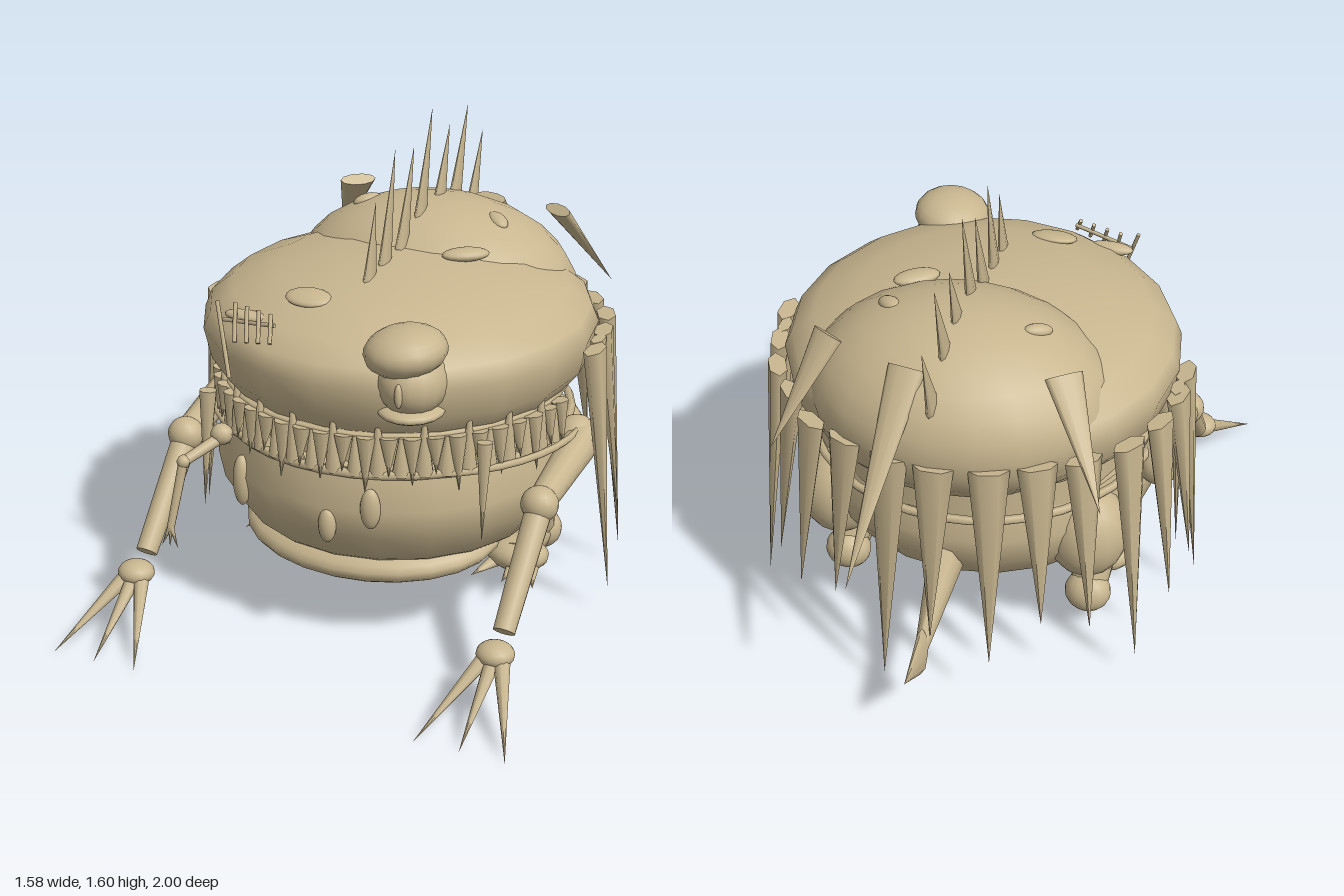
import * as THREE from 'three';

const hide = new THREE.MeshStandardMaterial({ color: 0xc8b68f });
hide.name = 'tan hide';
const V = (p) => new THREE.Vector3(...p);

export function createModel() {
  const model = new THREE.Group();
  model.name = 'spikyToadMonster';

  const add = (name, geometry) => {
    const mesh = new THREE.Mesh(geometry, hide);
    mesh.name = name;
    model.add(mesh);
    return mesh;
  };
  // Tapered rod from a to b; r1 = 0 makes a spike, thinned by squash along the given direction
  const limb = (name, a, b, r0, r1, sides = 10, squash = 1, thin = [1, 0, 0]) => {
    const from = V(a), to = V(b), dir = to.clone().sub(from);
    const mesh = add(name, new THREE.CylinderGeometry(r1, r0, dir.length(), sides));
    dir.normalize();
    const across = new THREE.Vector3().crossVectors(V(thin), dir).normalize();
    const basis = new THREE.Matrix4().makeBasis(dir.clone().cross(across), dir, across);
    mesh.quaternion.setFromRotationMatrix(basis);
    mesh.position.copy(from).add(to).multiplyScalar(0.5);
    mesh.scale.x = squash;
    return mesh;
  };
  const ball = (name, p, r, rot = [0, 0, 0], seg = 16) => {
    const mesh = add(name, new THREE.SphereGeometry(1, seg, Math.ceil(seg * 0.7)));
    mesh.position.set(...p);
    mesh.scale.set(...r);
    mesh.rotation.set(...rot);
    return mesh;
  };
  const turned = (name, points, capY, capR, faceUp) => {
    const mesh = add(name, new THREE.LatheGeometry(points.map((p) => new THREE.Vector2(...p)), 20));
    const cap = new THREE.Mesh(new THREE.CircleGeometry(capR, 20), hide);
    cap.name = name + 'MouthFace';
    cap.rotation.x = faceUp ? -Math.PI / 2 : Math.PI / 2;
    cap.position.y = capY;
    mesh.add(cap);
    return mesh;
  };

  // Flat-bottomed head, bowl-shaped belly and the hump behind
  turned('head', [[0.58, 0.78], [0.635, 0.85], [0.66, 0.96], [0.635, 1.02], [0.56, 1.08],
    [0.41, 1.14], [0.2, 1.18], [0, 1.19]], 0.78, 0.58, false);
  const belly = turned('belly', [[0, 0.15], [0.2, 0.175], [0.38, 0.225], [0.51, 0.32],
    [0.585, 0.43], [0.605, 0.53], [0.575, 0.65]], 0.65, 0.575, true);
  belly.position.z = 0.05;
  belly.scale.z = 0.97;
  ball('bellyPatch', [0, 0.29, 0.22], [0.45, 0.1, 0.335], [0.1, 0, 0], 24);
  ball('hump', [0, 0.97, -0.285], [0.505, 0.312, 0.405], [0, 0, 0], 20);

  // Mouth interior, gums and lower lip
  add('mouthInside', new THREE.CylinderGeometry(0.53, 0.53, 0.16, 24)).position.y = 0.715;
  [['upperGum', 0.57, 0.775, 0.015], ['lowerGum', 0.585, 0.65, 0.015]].forEach(([name, r, y, t]) => {
    const ring = add(name, new THREE.TorusGeometry(r, t, 6, 36));
    ring.rotation.x = Math.PI / 2;
    ring.position.set(0, y, 0.02);
  });
  const lip = add('lowerLip', new THREE.TorusGeometry(0.64, 0.012, 6, 24, Math.PI));
  lip.rotation.x = Math.PI / 2;
  lip.scale.y = 0.92;
  lip.position.y = 0.65;

  // Two rows of teeth around the front
  const upper = 25, lower = 24;
  const around = (angle, r, y) => [Math.sin(angle) * r, y, Math.cos(angle) * r];
  for (let i = 0; i < upper; i++) {
    const a = (i / (upper - 1) - 0.5) * 2.9;
    const drop = [0.16, 0.12, 0.19, 0.13][i % 4];
    limb('upperTooth', around(a, 0.6, 0.78), around(a, 0.62, 0.78 - drop), 0.032, 0, 8);
  }
  for (let i = 0; i < lower; i++) {
    const a = (i / (lower - 1) - 0.5) * 2.8;
    limb('lowerTooth', around(a, 0.59, 0.65), around(a, 0.6, i % 2 ? 0.78 : 0.83), 0.032, 0.007, 8);
  }
  limb('longFang', [-0.49, 0.77, 0.45], [-0.495, 0.37, 0.49], 0.03, 0, 8);
  limb('longFang', [0.49, 0.77, 0.45], [0.5, 0.44, 0.49], 0.027, 0, 8);

  // Fringe of flattened hanging spikes: x, z, tip height
  [[-0.68, 0.01, 0.12], [-0.68, -0.12, 0.3], [-0.65, -0.27, 0.25], [-0.58, -0.41, 0.1],
    [-0.46, -0.52, 0.3], [-0.33, -0.59, 0.35], [-0.19, -0.65, 0.2], [-0.02, -0.68, 0.3],
    [0.13, -0.66, 0.08], [0.29, -0.61, 0.35], [0.42, -0.55, 0.3], [0.53, -0.42, 0.3],
    [0.62, -0.3, 0.07], [0.66, -0.16, 0.26], [0.69, 0.01, 0.1]].forEach(([x, z, tip]) => {
    limb('fringeSpike', [x * 1.11, tip, z * 1.11], [x, 0.95, z], 0, 0.066, 6, 0.5, [x, 0, z]);
  });
  for (const s of [1, -1]) {
    limb('fringeSpike', [s * 0.7, 0.3, -0.09], [s * 0.67, 0.95, -0.08], 0, 0.045, 6, 0.5);
  }

  // Row of thin back spikes: base z, base y, tip z, tip y
  [[0.245, 1.14, 0.19, 1.41], [0.13, 1.15, 0.04, 1.54], [-0.01, 1.18, -0.11, 1.51],
    [-0.155, 1.22, -0.26, 1.6], [-0.32, 1.24, -0.41, 1.5], [-0.46, 1.22, -0.57, 1.53],
    [-0.61, 1.13, -0.71, 1.4]].forEach(([z, y, tz, ty]) => {
    limb('backSpike', [0, y, z], [0, ty, tz], 0.045, 0, 8, 0.36);
  });

  // Flattened swept-back horns on the hump
  const horn = (name, base, tip) => limb(name, base, tip, 0.063, 0, 10, 0.35, [0, 1, 0]);
  horn('middleHorn', [0.1, 1.21, -0.54], [0.17, 0.68, -1]);
  horn('sideHorn', [0.38, 1.23, -0.46], [0.51, 0.92, -0.68]);
  horn('sideHorn', [-0.38, 1.23, -0.48], [-0.56, 0.92, -0.73]);

  // Tail with a flat fin
  limb('tail', [0, 0.43, -0.42], [0, 0.26, -0.8], 0.11, 0.03, 10, 0.6);
  limb('tailFin', [0, 0.255, -0.78], [0, 0.29, -0.97], 0.09, 0, 8, 0.25);

  // Arms and legs
  for (const s of [1, -1]) {
    ball('shoulder', [s * 0.62, 0.6, -0.04], [0.075, 0.08, 0.08]);
    limb('upperArm', [s * 0.645, 0.61, -0.06], [s * 0.64, 0.54, 0.35], 0.065, 0.045, 12);
    ball('elbow', [s * 0.64, 0.54, 0.35], [0.062, 0.06, 0.058]);
    limb('forearm', [s * 0.64, 0.53, 0.35], [s * 0.64, 0.23, 0.64], 0.045, 0.036, 12);
    ball('wrist', [s * 0.64, 0.19, 0.71], [0.062, 0.04, 0.058]);
    for (const dx of [-0.15, 0, 0.15]) {
      limb('finger', [s * 0.64 + dx * 0.17, 0.18, 0.72], [s * 0.64 + dx, 0.003, 1], 0.028, 0, 8);
    }

    ball('hip', [s * 0.43, 0.46, -0.28], [0.14, 0.17, 0.14]);
    limb('thigh', [s * 0.42, 0.38, -0.08], [s * 0.43, 0.17, -0.2], 0.1, 0.065, 12);
    ball('ankle', [s * 0.43, 0.14, -0.23], [0.08, 0.075, 0.07]);
    limb('foot', [s * 0.43, 0.14, -0.22], [s * 0.43, 0.14, 0.02], 0.06, 0.055, 12);
    ball('footPad', [s * 0.43, 0.14, -0.02], [0.11, 0.058, 0.085]);
    for (const dx of [-0.08, 0, 0.08]) {
      limb('toe', [s * 0.43 + dx * 0.8, 0.115, 0.01], [s * 0.43 + dx * 1.4, 0.1, 0.13], 0.026, 0, 8);
    }
  }

  // Bulging eye with heavy lids
  ball('eyeball', [0.28, 0.975, 0.53], [0.112, 0.11, 0.125]);
  ball('upperLid', [0.26, 1.075, 0.54], [0.132, 0.08, 0.138], [0, 0, 0.12]);
  ball('lowerLid', [0.28, 0.885, 0.54], [0.108, 0.03, 0.115]);
  ball('pupil', [0.285, 0.97, 0.65], [0.013, 0.04, 0.015]);

  // Stitched-shut eye
  limb('scar', [-0.41, 1.12, 0.51], [-0.34, 0.89, 0.575], 0.007, 0.007, 6);
  limb('stitchBar', [-0.39, 1.06, 0.51], [-0.18, 1.09, 0.56], 0.007, 0.007, 6, 1, [0, 1, 0]);
  for (let i = 0; i < 4; i++) {
    const x = -0.35 + i * 0.05, z = 0.52 + i * 0.015;
    limb('stitch', [x, 1.12, z - 0.02], [x + 0.025, 1.01 + i * 0.012, z + 0.04], 0.007, 0.007, 6);
  }
  ball('shutEyeRidge', [-0.32, 1.07, 0.48], [0.08, 0.02, 0.03]);

  // Warts on the head and belly
  ball('headWart', [-0.14, 1.135, 0.4], [0.08, 0.018, 0.05], [0.25, 0, 0]);
  ball('headWart', [0.22, 1.19, -0.03], [0.08, 0.022, 0.04], [0, 0.6, 0]);
  ball('headWart', [0.24, 1.235, -0.26], [0.05, 0.022, 0.03], [0, -0.7, -0.2]);
  ball('headWart', [-0.25, 1.235, -0.28], [0.05, 0.022, 0.025], [0, 0.6, 0.2]);
  ball('bellyWart', [-0.33, 0.51, 0.53], [0.032, 0.09, 0.03], [0, -0.55, 0]);
  ball('bellyWart', [0.025, 0.465, 0.625], [0.03, 0.06, 0.025]);
  ball('bellyWart', [0.17, 0.545, 0.61], [0.033, 0.07, 0.025], [0, 0.3, 0]);

  // Tiny arm dangling from the mouth
  ball('tinyShoulder', [-0.36, 0.7, 0.6], [0.038, 0.036, 0.036], [0, 0, 0], 10);
  limb('tinyUpperArm', [-0.36, 0.69, 0.6], [-0.43, 0.645, 0.73], 0.02, 0.017, 8);
  ball('tinyElbow', [-0.43, 0.645, 0.73], [0.022, 0.022, 0.022], [0, 0, 0], 10);
  limb('tinyForearm', [-0.43, 0.645, 0.73], [-0.455, 0.43, 0.785], 0.017, 0.013, 8);
  for (const dx of [-0.03, 0, 0.03]) {
    limb('tinyFinger', [-0.455, 0.435, 0.785], [-0.455 + dx, 0.365, 0.795], 0.01, 0, 6);
  }
  return model;
}
